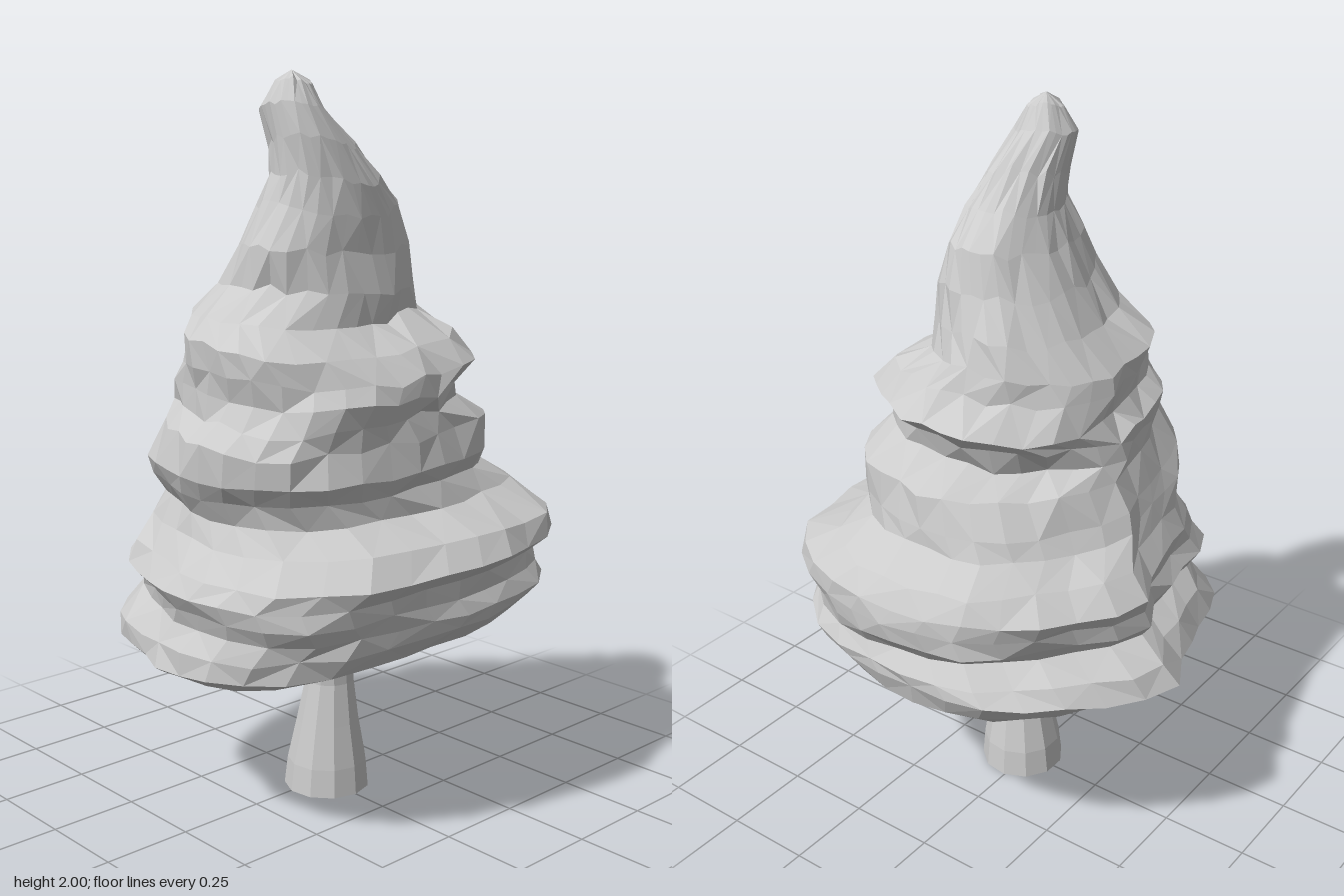
import * as THREE from 'three';

// Foliage sections: y, xMin, xMax, zMin (back), zMax (front)
const SECTIONS = [
  [0.535, -0.05, 0.12, -0.08, 0.10], [0.515, -0.25, 0.28, -0.28, 0.29],
  [0.475, -0.47, 0.37, -0.48, 0.53], [0.515, -0.51, 0.47, -0.54, 0.58],
  [0.57, -0.58, 0.52, -0.57, 0.57], [0.62, -0.54, 0.54, -0.57, 0.53],
  [0.665, -0.46, 0.53, -0.54, 0.55], [0.71, -0.49, 0.53, -0.57, 0.58],
  [0.76, -0.48, 0.58, -0.58, 0.55], [0.82, -0.50, 0.54, -0.58, 0.49],
  [0.88, -0.44, 0.42, -0.54, 0.46], [0.94, -0.40, 0.40, -0.45, 0.50],
  [0.99, -0.37, 0.43, -0.44, 0.53], [1.08, -0.32, 0.42, -0.43, 0.52],
  [1.13, -0.32, 0.42, -0.31, 0.46], [1.19, -0.33, 0.44, -0.33, 0.44],
  [1.24, -0.29, 0.43, -0.40, 0.45], [1.31, -0.28, 0.38, -0.33, 0.46],
  [1.37, -0.29, 0.28, -0.29, 0.40], [1.45, -0.20, 0.27, -0.27, 0.32],
  [1.55, -0.13, 0.25, -0.24, 0.31], [1.65, -0.08, 0.24, -0.20, 0.26],
  [1.73, -0.04, 0.23, -0.11, 0.23], [1.82, -0.03, 0.20, -0.03, 0.23],
  [1.91, -0.03, 0.16, 0.06, 0.24], [1.97, 0.01, 0.12, 0.10, 0.21],
];
// Lopsided plan outline, as a factor on the radius, from +x round through +z
const OUTLINE = [
  1, 0.99, 1.02, 1.07, 1.09, 1.09, 1.055, 1.005, 0.98, 0.95, 0.95, 0.98, 0.97, 0.93, 0.875, 0.865,
  0.88, 1.01, 1, 0.96, 0.965, 0.97, 1, 0.99, 1, 1.02, 1.055, 1.09, 1.1, 1.085, 1.025, 1.01,
];
const SIDES = OUTLINE.length;

function seeded(seed) {
  return () => {
    seed = (seed * 16807) % 2147483647;
    return seed / 2147483647 - 0.5;
  };
}

// Skin over rings of points listed from the bottom up, closed at the top only
function loft(rings, top) {
  const n = rings[0].length;
  const points = [...rings.flat(), top];
  const t = points.length - 1, last = t - n;
  const index = [];
  for (let j = 0; j < n; j++) {
    const k = (j + 1) % n;
    for (let i = 0; i < rings.length - 1; i++) {
      const p = i * n, q = p + n;
      if ((i + j) % 2) index.push(p + j, q + j, p + k, p + k, q + j, q + k);
      else index.push(p + j, q + j, q + k, p + j, q + k, p + k);
    }
    index.push(t, last + k, last + j);
  }
  const geometry = new THREE.BufferGeometry().setFromPoints(points);
  geometry.setIndex(index);
  geometry.computeVertexNormals();
  return geometry;
}

function foliageGeometry() {
  const rand = seeded(4271);
  const rings = SECTIONS.map(([y, x0, x1, z0, z1], row) => {
    const fade = THREE.MathUtils.clamp((1.9 - y) / 1.1, 0, 1);
    const rough = row < 2 ? 0.2 : y < 1 ? 0.55 : y > 1.85 ? 0.6 : 1.1;
    return OUTLINE.map((plan, j) => {
      const a = (j / SIDES) * Math.PI * 2;
      // The spire is flattened on its back left side
      const spire = 1 - 0.2 * Math.max(0, Math.cos(a - 5.5));
      // Diagonal folds that wind round the tree, plus ragged edges
      const fold = 0.04 * Math.sin(y * 27 + a * 3) * Math.abs(Math.sin(2 * a));
      const r = THREE.MathUtils.lerp(spire, plan, fade) + rough * (fold + rand() * 0.05);
      const x = (x0 + x1) / 2 + ((x1 - x0) / 2) * Math.cos(a) * r;
      const z = (z0 + z1) / 2 + ((z1 - z0) / 2) * Math.sin(a) * r;
      // The hem hangs lower at the front than at the back
      const hem = y < 0.6 ? 0.025 * x - 0.045 * z : y < 0.8 ? -0.02 * z : 0;
      const wave = 0.014 * Math.sin(2 * a + y * 3) + rand() * 0.022;
      return new THREE.Vector3(x, y + rough * wave + hem, z);
    });
  });
  return loft(rings, new THREE.Vector3(0.06, 2, 0.16));
}

// Trunk sections: y, centre x, centre z, radius
function trunkGeometry() {
  const sections = [
    [0, 0.02, 0, 0.122], [0.08, 0.022, 0, 0.114], [0.2, 0.028, 0.002, 0.09],
    [0.32, 0.033, 0, 0.07], [0.4, 0.035, 0.005, 0.068], [0.46, 0.04, 0.03, 0.088], [0.54, 0.04, 0.03, 0.11],
  ];
  const rings = sections.map(([y, x, z, r]) =>
    Array.from({ length: 11 }, (_, j) => {
      const a = (j / 11) * Math.PI * 2;
      return new THREE.Vector3(x + r * Math.cos(a), y, z + r * Math.sin(a));
    })
  );
  return loft(rings, new THREE.Vector3(0.04, 0.54, 0.03));
}

export function createModel() {
  const group = new THREE.Group();
  group.name = 'tree';
  // The trunk is open at its foot, and the foliage where the trunk enters
  const material = new THREE.MeshStandardMaterial({ color: 0xcccccc, flatShading: true, side: THREE.DoubleSide });
  const parts = { trunk: trunkGeometry(), foliage: foliageGeometry() };
  for (const [name, geometry] of Object.entries(parts)) {
    const mesh = new THREE.Mesh(geometry, material);
    mesh.name = name;
    group.add(mesh);
  }
  return group;
}
